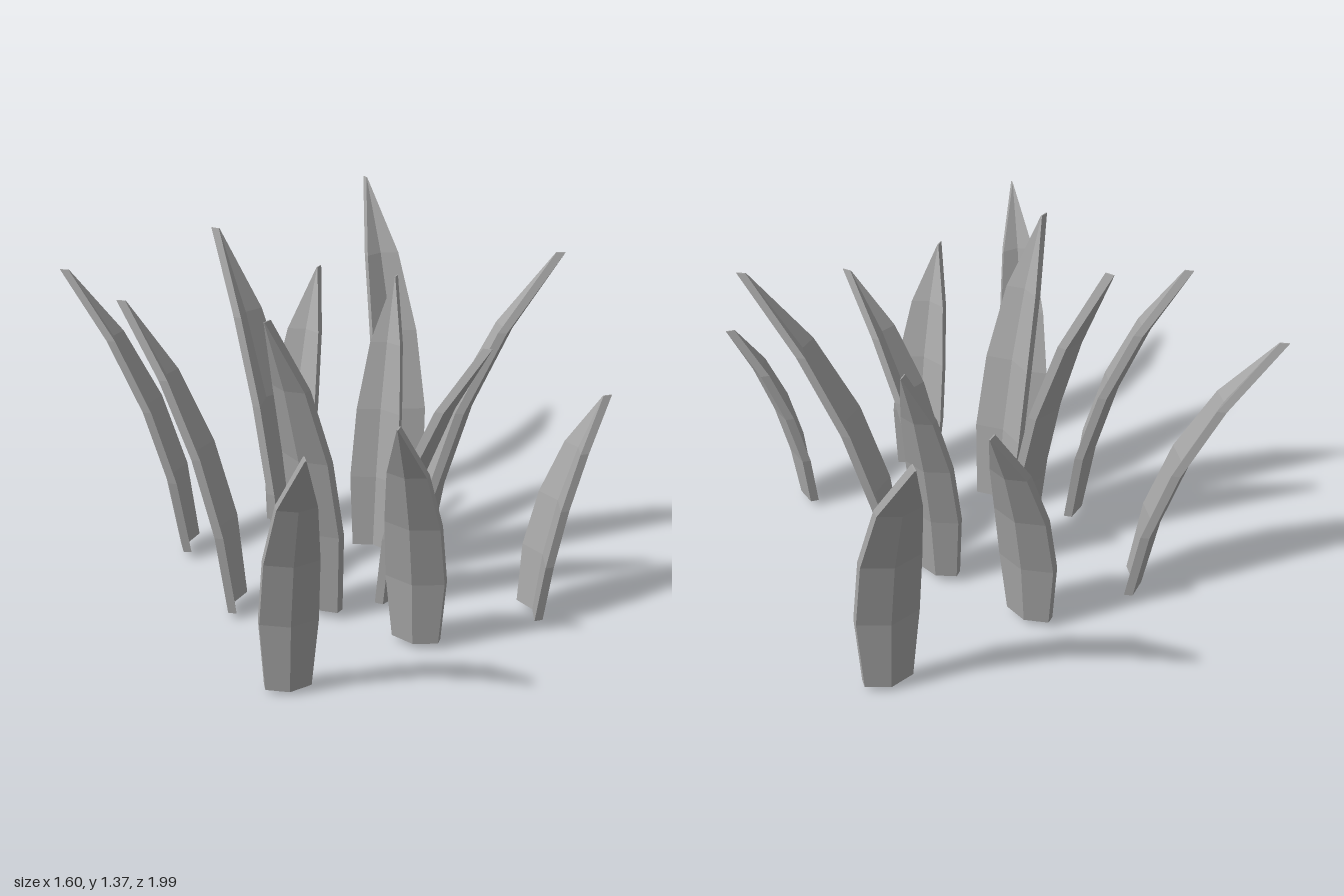
import * as THREE from 'three';

const THICK = 0.033;                          // blade thickness
const FOLD = 0.36;                            // depth of the V fold per half width
const PROFILE = [0.8, 1, 0.92, 0.64, 0.02];   // half width from root to tip

// One folded, outward-curving leaf: leans towards local +z, rooted at the origin
function bladeGeometry(lean, height, halfWidth) {
  const last = PROFILE.length - 1;
  const rings = PROFILE.map((p, i) => {
    const t = i / last, w = p * halfWidth, d = w * FOLD;
    const z = (lean - THICK) * (0.3 * t + 0.7 * t * t);
    const y = height * (t + 0.13 * t * (1 - t));
    // inner left, fold, right, then outer right, fold, left
    return [
      [-w, y, z - d], [0, y, z], [w, y, z - d],
      [w, y, z - d + THICK], [0, y, z + THICK], [-w, y, z - d + THICK],
    ];
  });

  const pos = [];
  const quad = (a, b, c, d) => pos.push(...a, ...b, ...c, ...a, ...c, ...d);
  for (let k = 0; k < last; k++) {
    const a = rings[k], b = rings[k + 1];
    for (let i = 0; i < 6; i++) {
      const j = (i + 1) % 6;
      quad(a[j], a[i], b[i], b[j]);
    }
  }
  // root and tip caps
  const r = rings[0], e = rings[last];
  quad(r[0], r[1], r[4], r[5]);
  quad(r[1], r[2], r[3], r[4]);
  quad(e[5], e[4], e[1], e[0]);
  quad(e[4], e[3], e[2], e[1]);

  const geo = new THREE.BufferGeometry();
  geo.setAttribute('position', new THREE.Float32BufferAttribute(pos, 3));
  geo.computeVertexNormals();                 // unshared corners give flat faces
  return geo;
}

// root x, root z, root y, tip x, tip z, tip y, half width
const BLADES = [
  [-0.425, -0.47, 0.03, -0.80, -0.71, 1.18, 0.10],
  [0.025, -0.465, 0.03, 0.27, -0.65, 1.07, 0.11],
  [0.617, -0.55, 0.02, 0.65, -1.00, 1.33, 0.113],
  [-0.14, -0.10, 0.03, -0.315, -0.36, 1.37, 0.11],
  [0.24, -0.11, 0.035, 0.425, -0.28, 1.11, 0.097],
  [-0.43, 0.035, 0.025, -0.74, -0.20, 1.20, 0.10],
  [0.375, 0.04, 0.0, 0.80, 0.29, 1.30, 0.105],
  [-0.16, 0.21, 0.03, -0.42, 0.35, 1.24, 0.108],
  [0.115, 0.255, 0.03, 0.345, 0.53, 1.08, 0.095],
  [-0.47, 0.61, 0.015, -0.575, 0.99, 1.05, 0.10],
  [0.055, 0.56, 0.025, -0.15, 0.76, 0.97, 0.108],
  [0.55, 0.58, 0.025, 0.80, 0.62, 0.865, 0.098],
];

export function createModel() {
  const model = new THREE.Group();
  model.name = 'grassClump';
  const leafGrey = new THREE.MeshStandardMaterial({ color: 0xa8a8a8 });
  leafGrey.name = 'leafGrey';

  BLADES.forEach(([x, z, y, tx, tz, ty, w], i) => {
    const dx = tx - x, dz = tz - z;
    const blade = new THREE.Mesh(bladeGeometry(Math.hypot(dx, dz), ty - y, w), leafGrey);
    blade.name = `grassBlade${i + 1}`;
    blade.position.set(x, y, z);
    blade.rotation.y = Math.atan2(dx, dz);    // lean towards the tip
    model.add(blade);
  });
  return model;
}
